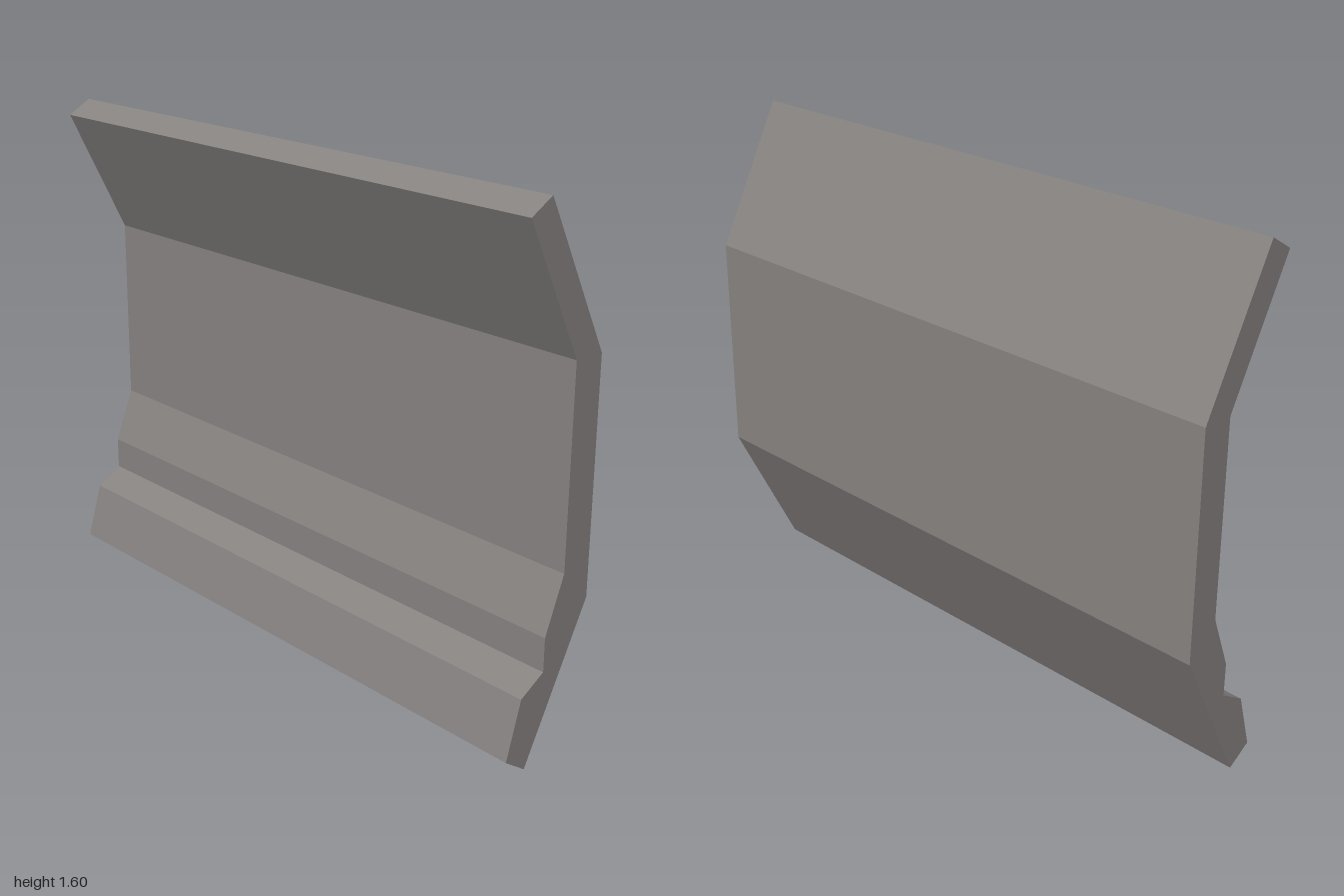
import * as THREE from 'three';

export function createModel() {
  const model = new THREE.Group();
  model.name = 'wallPanel';

  const concreteGrey = new THREE.MeshStandardMaterial({ color: 0x85817f });
  concreteGrey.name = 'concreteGrey';

  // Side profile as (z, y): back edge from the top down, then the stepped front edge up
  const profile = new THREE.Shape([
    [0.15, 1.55], [0.075, 1.595], [-0.15, 1.15], [-0.15, 0.45], [0.075, 0],
    [0.15, 0.05], [0.1, 0.225], [0.015, 0.277], [0.015, 0.38],
    [-0.05, 0.55], [-0.05, 1.15],
  ].map(([z, y]) => new THREE.Vector2(z, y)));

  // Run the profile along the full width
  const geometry = new THREE.ExtrudeGeometry(profile, { depth: 2, bevelEnabled: false });
  geometry.rotateY(-Math.PI / 2).translate(1, 0, 0);

  const panel = new THREE.Mesh(geometry, concreteGrey);
  panel.name = 'foldedPanel';
  model.add(panel);
  return model;
}
